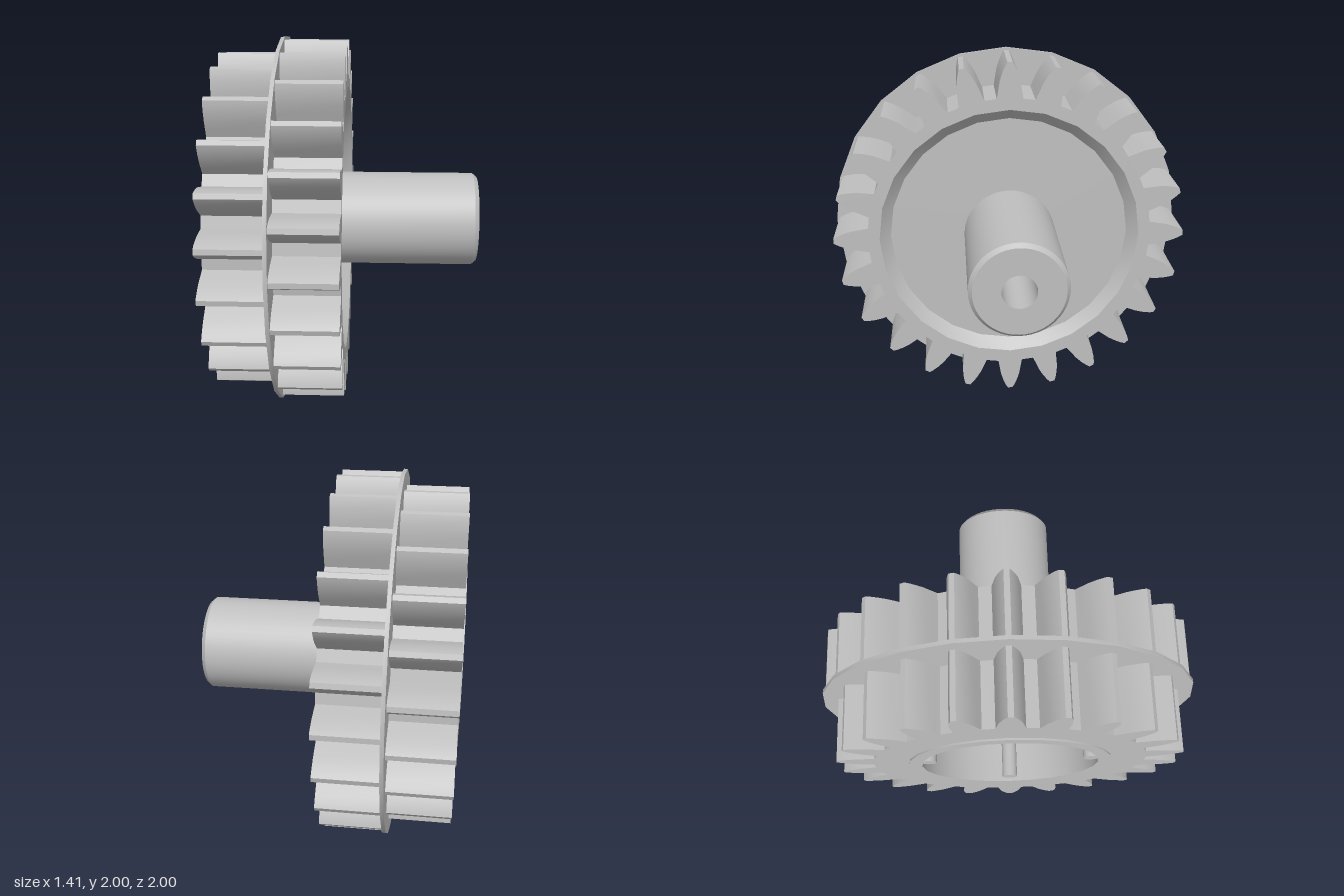
import * as THREE from 'three';
import { toCreasedNormals } from 'three/addons/utils/BufferGeometryUtils.js';

const AXIS_Y = 1; // height of the turning axis, which runs along x

export function createModel() {
  const group = new THREE.Group();
  const grey = new THREE.MeshStandardMaterial({ color: 0xbfbfbf });
  grey.name = 'grey plastic';

  function add(name, geometry) {
    const mesh = new THREE.Mesh(toCreasedNormals(geometry, 0.5), grey);
    mesh.name = name;
    mesh.position.y = AXIS_Y;
    group.add(mesh);
  }

  // Turned part: profile pairs are [radius, x]
  function turned(name, profile, sides) {
    const points = profile.map(([r, x]) => new THREE.Vector2(r, x));
    add(name, new THREE.LatheGeometry(points, sides).rotateZ(-Math.PI / 2));
  }

  // Toothed ring with one tooth pointing straight up
  function gear(name, teeth, tipRadius, holeRadius, x0, x1) {
    // half a tooth: [distance below the tip, half width]
    const flank = [[0.195, 0.071], [0.155, 0.064], [0.1, 0.055], [0.055, 0.041], [0.02, 0.026], [0, 0.014]];
    const tooth = [
      ...flank.map(([d, w]) => [tipRadius - d, -w]),
      ...flank.slice().reverse().map(([d, w]) => [tipRadius - d, w]),
    ];
    const points = [];
    for (let i = 0; i < teeth; i++) {
      const a = (i / teeth) * Math.PI * 2;
      for (const [r, w] of tooth) {
        points.push(new THREE.Vector2(
          r * Math.sin(a) + w * Math.cos(a),
          r * Math.cos(a) - w * Math.sin(a)
        ));
      }
    }
    const shape = new THREE.Shape(points);
    const hole = [];
    for (let i = 0; i < 24; i++) {
      const a = (i / 24) * Math.PI * 2;
      hole.push(new THREE.Vector2(holeRadius * Math.cos(a), holeRadius * Math.sin(a)));
    }
    shape.holes.push(new THREE.Path(hole));
    const geometry = new THREE.ExtrudeGeometry(shape, { depth: x1 - x0, bevelEnabled: false });
    add(name, geometry.rotateY(Math.PI / 2).translate(x0, 0, 0));
  }

  gear('largeGear', 24, 0.985, 0.73, -0.34, -0.01);
  gear('smallGear', 22, 0.915, 0.53, -0.695, -0.36);

  // Thin flange between the two gears
  turned('flange', [[0.5, -0.36], [1, -0.36], [1, -0.34], [0.5, -0.34]], 24);

  // Hub: deep cavity with a raised lip on one side, shallow dish on the other
  turned('hub', [
    [0.09, -0.235], [0.47, -0.235], [0.47, -0.705], [0.54, -0.705], [0.54, -0.35],
    [0.73, -0.35], [0.73, -0.01], [0.67, -0.07], [0.24, -0.07],
  ], 24);

  // Hollow shaft with a chamfered end
  turned('shaft', [
    [0.255, -0.07], [0.255, 0.68], [0.235, 0.703], [0.09, 0.703], [0.09, -0.235],
  ], 48);

  // Four rods along the cavity wall, each on a wider foot
  for (let i = 0; i < 4; i++) {
    const a = (i * Math.PI) / 2;
    const y = 0.435 * Math.cos(a);
    const z = 0.435 * Math.sin(a);
    const rod = new THREE.CylinderGeometry(0.042, 0.042, 0.45, 16);
    add('cavityRod', rod.rotateZ(Math.PI / 2).translate(-0.46, y, z));
    const foot = new THREE.CylinderGeometry(0.06, 0.06, 0.03, 16);
    add('rodFoot', foot.rotateZ(Math.PI / 2).translate(-0.25, y, z));
  }

  return group;
}
